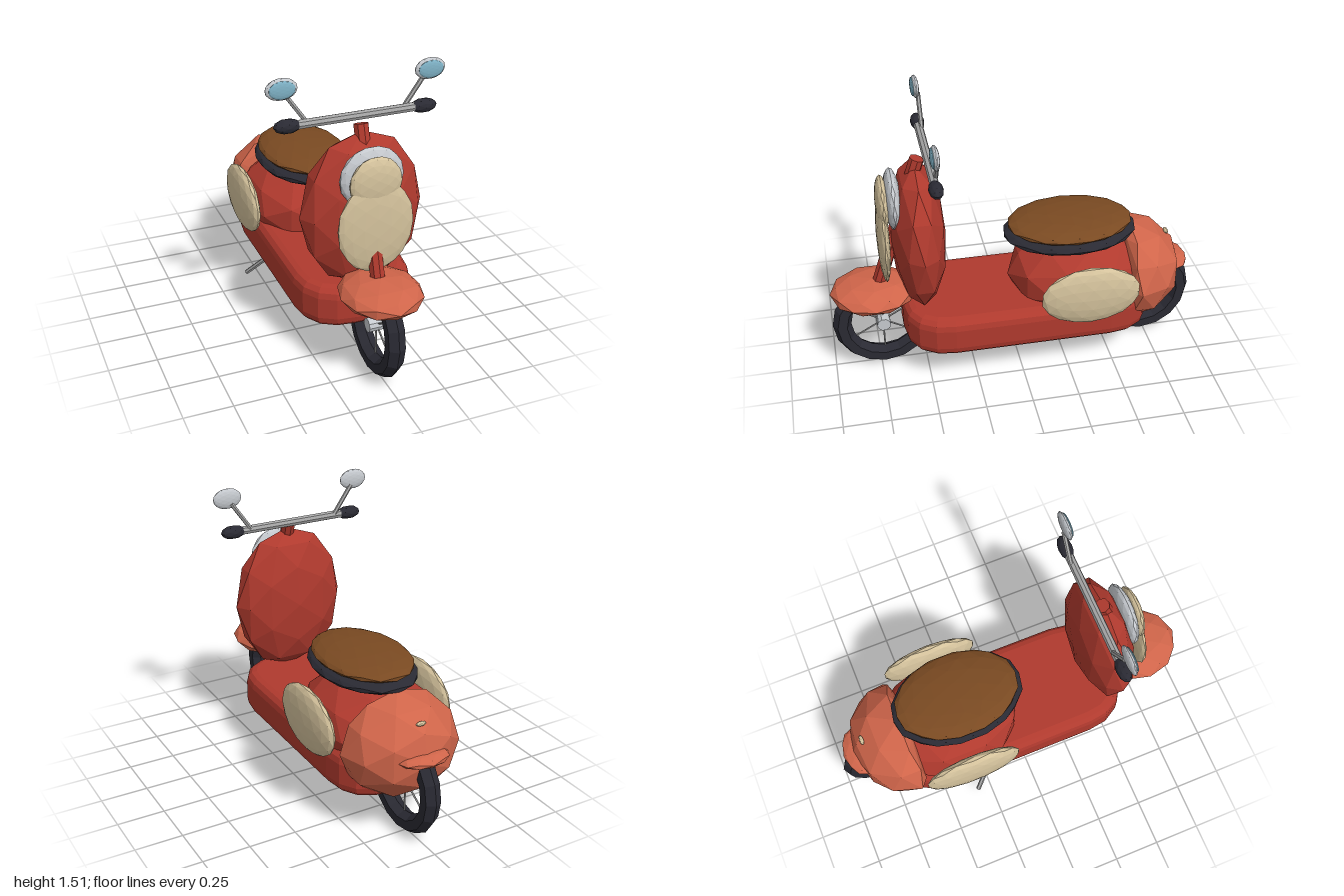
import * as THREE from 'three';

const paint = (name, color) => {
  const m = new THREE.MeshStandardMaterial({ color, flatShading: true });
  m.name = name;
  return m;
};

export function createModel() {
  const red = paint('red', 0xb03a2e), coral = paint('coral', 0xd0654a);
  const cream = paint('cream', 0xd4c29c), black = paint('rubber', 0x2a2a33);
  const brown = paint('leather', 0x7a4a22), silver = paint('silver', 0xc6cacf);
  const steel = paint('steel', 0xa6a6a6), blue = paint('mirror glass', 0x7fb2c6);
  const model = new THREE.Group();
  model.name = 'scooter';

  const add = (name, geo, mat, parent = model) => {
    const mesh = new THREE.Mesh(geo, mat);
    mesh.name = name;
    parent.add(mesh);
    return mesh;
  };
  // Faceted ellipsoid: centre and half sizes
  const blob = (name, mat, c, h, detail = 1) => {
    const mesh = add(name, new THREE.IcosahedronGeometry(1, detail).scale(...h), mat);
    mesh.position.set(...c);
    return mesh;
  };
  // Round bar between two points
  const bar = (name, mat, a, b, r, sides = 8, parent = model) => {
    const p = new THREE.Vector3(...a), q = new THREE.Vector3(...b);
    const d = q.clone().sub(p);
    const mesh = add(name, new THREE.CylinderGeometry(r, r, d.length(), sides), mat, parent);
    mesh.position.copy(p).add(q).multiplyScalar(0.5);
    mesh.quaternion.setFromUnitVectors(new THREE.Vector3(0, 1, 0), d.normalize());
    return mesh;
  };

  // Wheels: tyre, hub and six spokes
  for (const [name, z] of [['frontWheel', 0.725], ['rearWheel', -0.725]]) {
    const wheel = new THREE.Group();
    wheel.name = name;
    wheel.position.set(0, 0.272, z);
    model.add(wheel);
    add('tyre', new THREE.TorusGeometry(0.222, 0.05, 6, 16).rotateY(Math.PI / 2), black, wheel);
    bar('hub', silver, [-0.05, 0, 0], [0.05, 0, 0], 0.037, 10, wheel);
    for (let i = 0; i < 6; i++) {
      const a = i * Math.PI / 3;
      bar('spoke', steel, [0, 0, 0], [0, 0.19 * Math.cos(a), 0.19 * Math.sin(a)], 0.005, 5, wheel);
    }
  }

  // Footboard: rounded rectangle with bevelled rim
  const w = 0.25, l = 0.615, r = 0.2;
  const s = new THREE.Shape();
  s.moveTo(-w + r, -l);
  s.lineTo(w - r, -l);
  s.quadraticCurveTo(w, -l, w, -l + r);
  s.lineTo(w, l - r);
  s.quadraticCurveTo(w, l, w - r, l);
  s.lineTo(-w + r, l);
  s.quadraticCurveTo(-w, l, -w, l - r);
  s.lineTo(-w, -l + r);
  s.quadraticCurveTo(-w, -l, -w + r, -l);
  const board = add('footboard', new THREE.ExtrudeGeometry(s, {
    depth: 0.11, bevelSize: 0.055, bevelThickness: 0.06, bevelSegments: 3, curveSegments: 4,
  }).rotateX(-Math.PI / 2), red);
  board.position.set(0, 0.257, -0.05);

  // Rear body, seat and side panels
  blob('rearBody', red, [0, 0.48, -0.36], [0.325, 0.235, 0.4]);
  blob('seatBase', black, [0, 0.735, -0.297], [0.25, 0.057, 0.362], 2);
  blob('seatCushion', brown, [0, 0.785, -0.297], [0.232, 0.05, 0.338], 2);
  for (const side of [-1, 1])
    blob('sidePanel', cream, [side * 0.335, 0.523, -0.34], [0.05, 0.172, 0.265], 2);

  // Rear fender: ellipsoid with its front half flattened
  const fender = blob('rearFender', coral, [0, 0.458, -0.63], [0.32, 0.276, 0.29]);
  const pos = fender.geometry.attributes.position;
  for (let i = 0; i < pos.count; i++)
    if (pos.getZ(i) > 0) pos.setZ(i, pos.getZ(i) * 0.25);
  fender.geometry.computeVertexNormals();
  blob('tailLip', coral, [0, 0.48, -0.87], [0.14, 0.035, 0.095]);
  blob('tailTab', cream, [0, 0.645, -0.842], [0.028, 0.012, 0.012]);

  // Front shield, headlight and cream front panel
  blob('legShield', red, [0, 0.81, 0.512], [0.32, 0.41, 0.145]);
  blob('headlightRing', silver, [0, 1.03, 0.632], [0.165, 0.158, 0.045], 2);
  blob('headlight', cream, [0, 1.02, 0.683], [0.135, 0.137, 0.037], 2);
  blob('frontPanel', cream, [0, 0.8, 0.692], [0.197, 0.245, 0.033], 2);
  blob('frontFender', coral, [0, 0.477, 0.765], [0.207, 0.076, 0.23]);
  bar('steeringColumn', red, [0, 1.25, 0.495], [0, 0.45, 0.755], 0.038);

  // Handlebar, grips and mirrors
  bar('handlebar', steel, [-0.31, 1.27, 0.447], [0.31, 1.27, 0.447], 0.023);
  for (const side of [-1, 1]) {
    blob('grip', black, [side * 0.35, 1.27, 0.447], [0.07, 0.036, 0.037]);
    bar('mirrorStem', steel, [side * 0.255, 1.28, 0.435], [side * 0.36, 1.43, 0.435], 0.012, 6);
    blob('mirrorShell', silver, [side * 0.377, 1.457, 0.447], [0.08, 0.055, 0.02], 2);
    blob('mirrorGlass', blue, [side * 0.377, 1.457, 0.462], [0.066, 0.045, 0.011], 2);
  }

  // Kickstand
  bar('kickstand', steel, [-0.22, 0.22, -0.19], [-0.333, 0.048, -0.327], 0.013, 6);

  return model;
}
